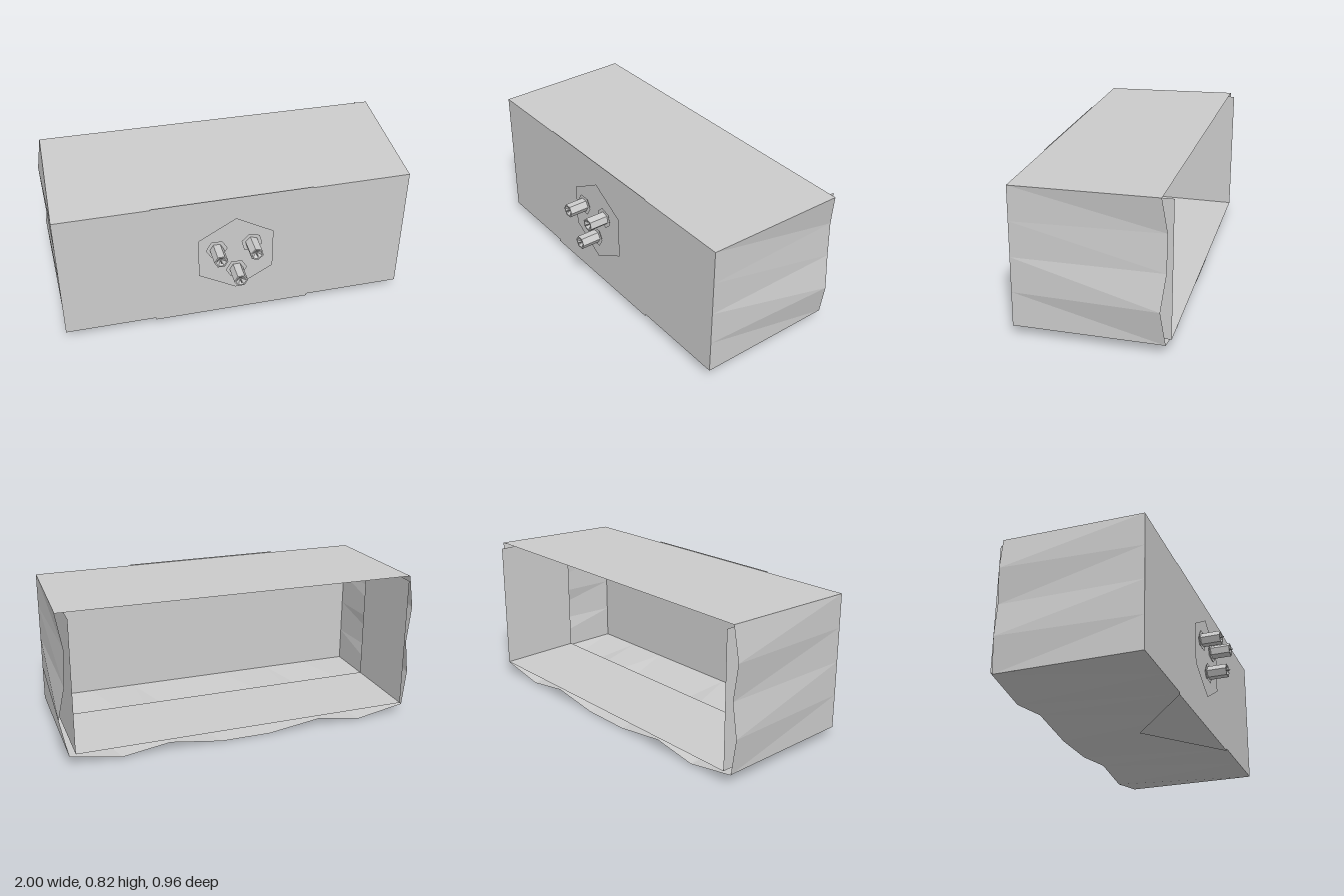
import * as THREE from 'three';

const material = new THREE.MeshStandardMaterial({ color: 0xcccccc, flatShading: true, side: THREE.DoubleSide });

// Ruled sheet between two edges with the same number of points
function sheet(name, edgeA, edgeB) {
  const n = edgeA.length;
  const index = [];
  for (let i = 0; i < n - 1; i++) index.push(i, i + 1, n + i, i + 1, n + i + 1, n + i);
  const geometry = new THREE.BufferGeometry();
  geometry.setAttribute('position', new THREE.Float32BufferAttribute([...edgeA, ...edgeB].flat(), 3));
  geometry.setIndex(index);
  geometry.computeVertexNormals();
  const mesh = new THREE.Mesh(geometry, material);
  mesh.name = name;
  return mesh;
}

// Six-sided turned part whose axis points to the front
function hexPart(name, profile, x, y, turn = 0) {
  const geometry = new THREE.LatheGeometry(profile.map(([r, z]) => new THREE.Vector2(r, z)), 6, turn);
  geometry.rotateX(Math.PI / 2);
  const mesh = new THREE.Mesh(geometry, material);
  mesh.name = name;
  mesh.position.set(x, y, 0);
  return mesh;
}

export function createModel() {
  const model = new THREE.Group();
  model.name = 'wallBox';
  const F = 0.33, L = 0.955, R = -0.975, bottom = 0.053, top = 0.805;

  // Front panel with small tabs on its top and bottom edges
  const outline = new THREE.Shape([
    [R, bottom], [-0.47, bottom], [-0.47, 0.04], [0.41, 0.04], [0.41, bottom], [L, bottom],
    [L, top], [0.41, top], [0.41, 0.81], [-0.47, 0.81], [-0.47, top], [R, top],
  ].map(([x, y]) => new THREE.Vector2(x, y)));
  const front = new THREE.Mesh(new THREE.ShapeGeometry(outline), material);
  front.name = 'frontPanel';
  front.position.z = F;
  model.add(front);

  // Side walls flare to a wavy back edge
  const leftBack = [[0.96, 0.055, -0.457], [1, 0.25, -0.435], [0.965, 0.44, -0.457], [0.955, 0.64, -0.457], [0.985, 0.825, -0.432]];
  const rightBack = [[-0.975, 0.055, -0.455], [-1, 0.25, -0.45], [-0.975, 0.44, -0.455], [-1, 0.64, -0.45], [-0.97, 0.825, -0.455]];
  const heights = [bottom, 0.24, 0.43, 0.62, top];
  model.add(sheet('leftWall', heights.map((y) => [L, y, F]), leftBack));
  model.add(sheet('rightWall', heights.map((y) => [R, y, F]), rightBack));

  // Roof and wavy floor
  model.add(sheet('roof', [[R, top, F], [L, top, F]], [rightBack[4], leftBack[4]]));
  const wave = [[-0.975, 0.055], [-0.7, 0.005], [-0.45, 0.045], [-0.15, 0.003], [0.13, 0.003], [0.42, 0.045], [0.68, 0.005], [0.96, 0.055]];
  model.add(sheet('floor',
    wave.map(([x], i) => [i === 0 ? R : i === 7 ? L : x, bottom, F]),
    wave.map(([x, y]) => [x, y, -0.458])));

  // Thin flap folded under the floor
  const apex = [-0.07, 0.025, -0.035];
  model.add(sheet('floorFlap', [[-0.47, 0.04, F], [0.41, 0.04, F]], [apex, apex]));

  // Open-topped inner lining around the rear opening
  const lining = [[-0.95, top], [-0.95, 0.075], [0.93, 0.075], [0.93, top]];
  model.add(sheet('innerLining',
    lining.map(([x, y]) => [x, y, 0]),
    lining.map(([x, y]) => [x, y, -0.48])));

  // Hexagonal mounting plate, narrower behind
  model.add(hexPart('mountingPlate', [[0, 0.332], [0.15, 0.332], [0.24, 0.345], [0, 0.345]], -0.015, 0.448));

  // Three terminals: nut, barrel with a recessed end, thin wire
  for (const [x, y, turn] of [[-0.125, 0.505, Math.PI / 6], [0.07, 0.52, 0.25], [-0.015, 0.352, Math.PI / 6]]) {
    const terminal = new THREE.Group();
    terminal.name = 'terminal';
    terminal.add(hexPart('nut', [[0, 0.345], [0.037, 0.345], [0.06, 0.357], [0, 0.357]], x, y, turn));
    terminal.add(hexPart('barrel', [[0.038, 0.35], [0.038, 0.465], [0.03, 0.465], [0, 0.44]], x, y, turn));
    const wire = new THREE.Mesh(new THREE.CylinderGeometry(0.003, 0.003, 0.045, 5), material);
    wire.name = 'wire';
    wire.rotation.x = Math.PI / 2 - 0.08;
    wire.position.set(x, y, 0.458);
    terminal.add(wire);
    model.add(terminal);
  }
  return model;
}
